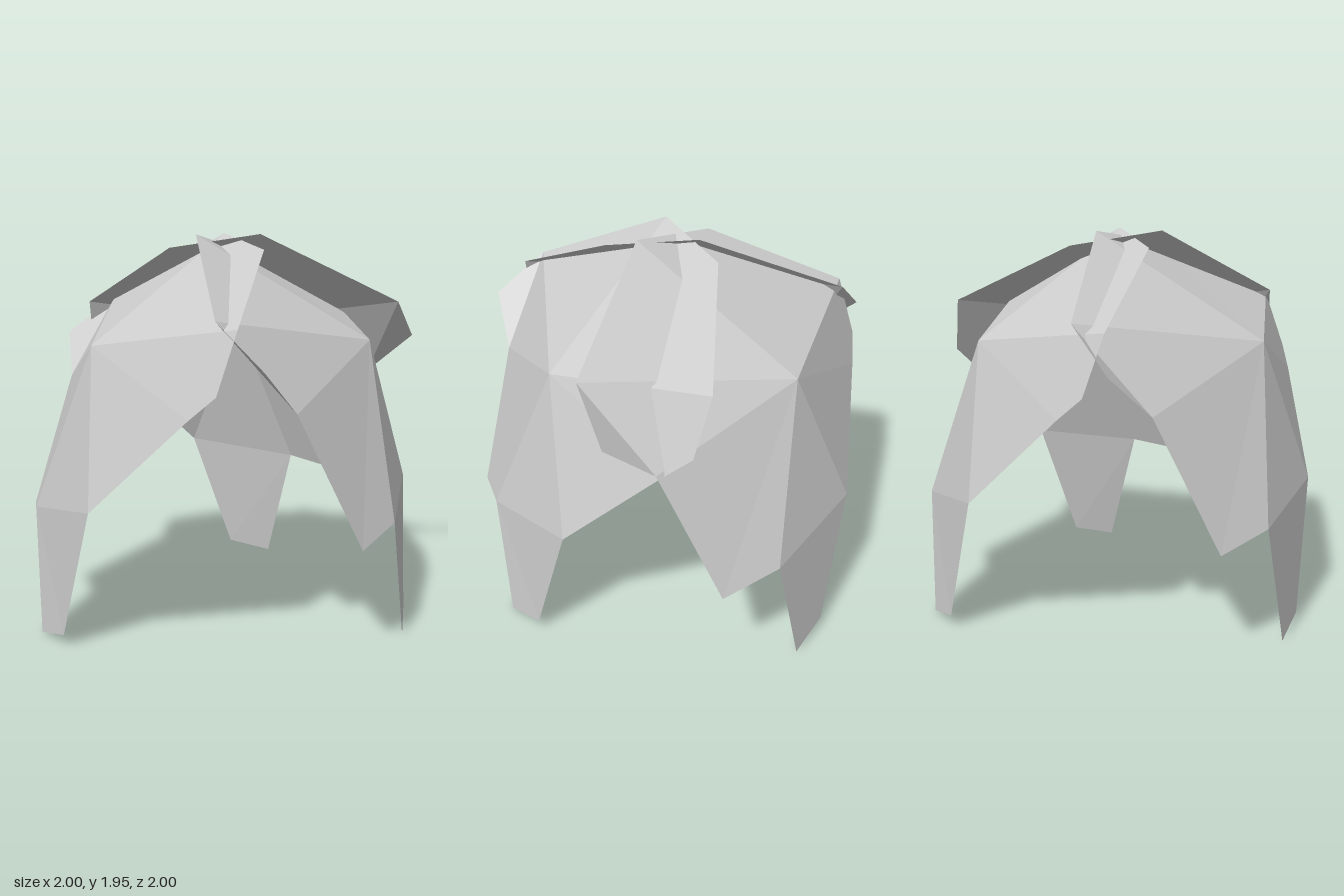
import * as THREE from 'three';

// One shell plate: a raised hub with a rim running anticlockwise around it
const HUB = [0.23, 1.44, 0.72];
const RIM = [
  [-0.785, 1.60, 0.52], // upper left corner
  [-0.54, 1.19, 0.785],
  [-0.31, 0.55, 1.00],  // lower left point
  [0.00, 0.61, 1.00],
  [0.54, 0.71, 0.77],
  [0.83, 1.18, 0.35],   // right end
  [0.90, 1.29, 0.24],
  [0.86, 1.57, 0.14],
  [0.22, 1.88, -0.11],  // top edge
  [-0.23, 1.95, 0.00],
];
// Flared tip outside the upper left corner
const FLARE = [RIM[0], [-0.79, 1.40, 0.78], RIM[1]];
// Foot hanging from the lower rim
const FOOT = [RIM[3], [0.14, 0, 0.99], [0.35, 0.06, 0.89], RIM[4]];

// Axis the plates turn around
const AXIS = new THREE.Vector3(-0.03, 0, 0.02);

function plateGeometry() {
  const pos = [];
  RIM.forEach((p, i) => pos.push(...HUB, ...p, ...RIM[(i + 1) % RIM.length]));
  pos.push(...FLARE.flat());
  pos.push(...FOOT[0], ...FOOT[1], ...FOOT[2], ...FOOT[0], ...FOOT[2], ...FOOT[3]);
  const g = new THREE.BufferGeometry();
  g.setAttribute('position', new THREE.Float32BufferAttribute(pos, 3));
  g.translate(-AXIS.x, 0, -AXIS.z);
  g.computeVertexNormals();
  return g;
}

export function createModel() {
  const model = new THREE.Group();
  model.name = 'threePlateShell';
  const material = new THREE.MeshStandardMaterial({
    color: 0xcccccc, flatShading: true, side: THREE.DoubleSide,
  });
  const geometry = plateGeometry();

  // Three overlapping plates, unevenly spaced: name, turn, shift in x and z
  const plates = [
    ['frontPlate', 0, 0, 0],
    ['leftPlate', 100, 0.02, 0],
    ['rightPlate', 225.8, -0.03, 0.05],
  ];
  for (const [name, degrees, dx, dz] of plates) {
    const plate = new THREE.Mesh(geometry, material);
    plate.name = name;
    plate.position.set(AXIS.x + dx, 0, AXIS.z + dz);
    plate.rotation.y = THREE.MathUtils.degToRad(degrees);
    model.add(plate);
  }
  return model;
}
